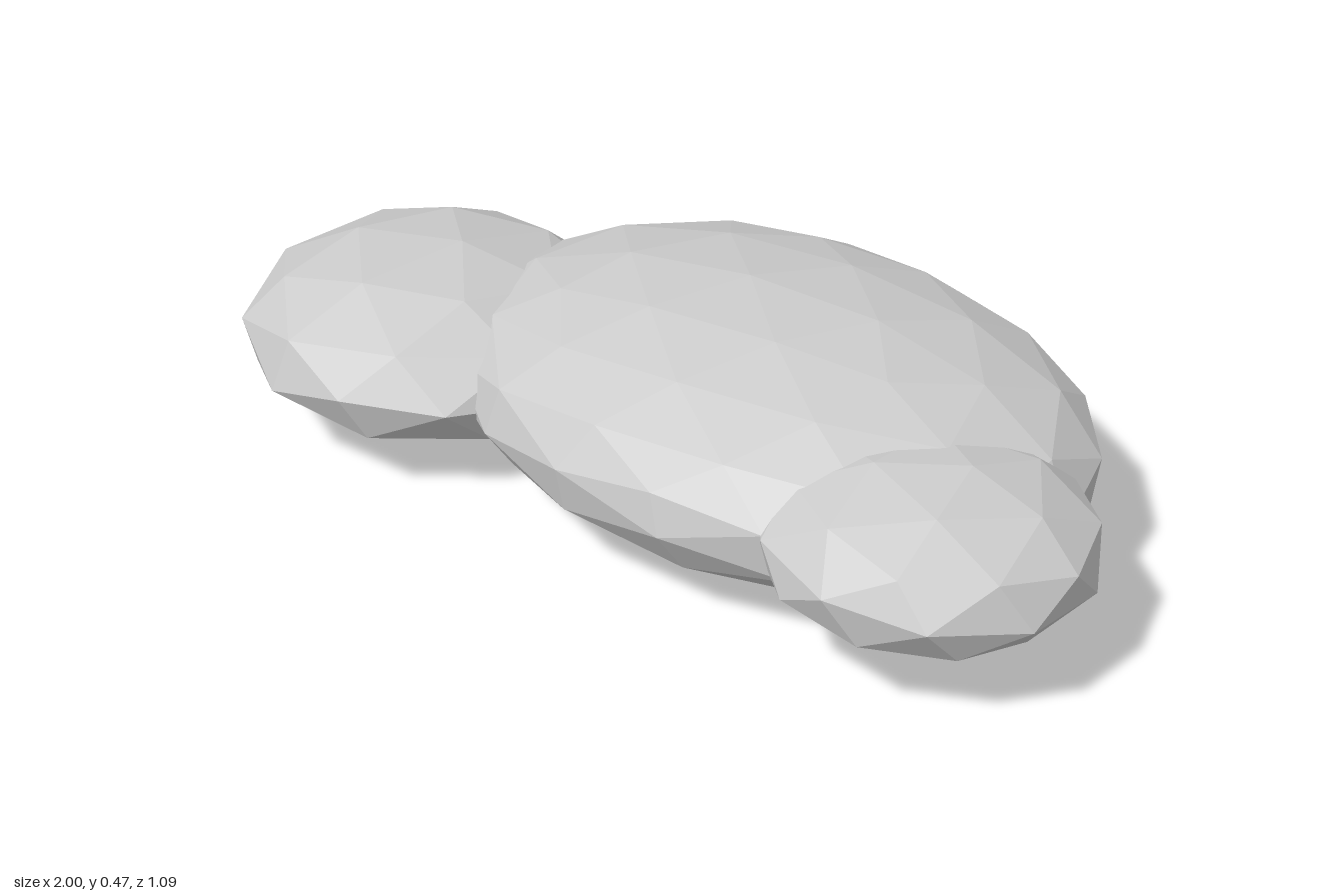
import * as THREE from 'three';

// Faceted puff: a turned low-poly ball, stretched to fill a box given by its min and max corners
function puff(name, detail, turn, min, max) {
  const geo = new THREE.IcosahedronGeometry(1, detail);
  geo.rotateX(turn[0]).rotateY(turn[1]).rotateZ(turn[2]);
  geo.computeBoundingBox();
  const lo = new THREE.Vector3(...min);
  const hi = new THREE.Vector3(...max);
  const box = geo.boundingBox;
  const mid = box.getCenter(new THREE.Vector3());
  const scale = hi.clone().sub(lo).divide(box.getSize(new THREE.Vector3()));
  const centre = lo.clone().add(hi).multiplyScalar(0.5);
  geo.translate(-mid.x, -mid.y, -mid.z);
  geo.scale(scale.x, scale.y, scale.z);
  geo.translate(centre.x, centre.y, centre.z);
  geo.computeVertexNormals();
  const mesh = new THREE.Mesh(
    geo,
    new THREE.MeshStandardMaterial({ color: 0xcccccc, flatShading: true })
  );
  mesh.name = name;
  return mesh;
}

export function createModel() {
  const cloud = new THREE.Group();
  cloud.name = 'cloud';
  cloud.add(
    // Large middle body
    puff('middlePuff', 2, [0.3, 0.2, 0.1], [-0.59, 0, -0.545], [0.85, 0.467, 0.465]),
    // Medium puff on the model's right, pushed forward
    puff('rightPuff', 1, [0.5, 0.3, 0.2], [-1, 0.045, -0.22], [-0.21, 0.397, 0.545]),
    // Small puff on the model's left
    puff('leftPuff', 1, [0.2, 0.6, 0.4], [0.36, 0.09, -0.16], [1, 0.395, 0.477])
  );
  return cloud;
}
